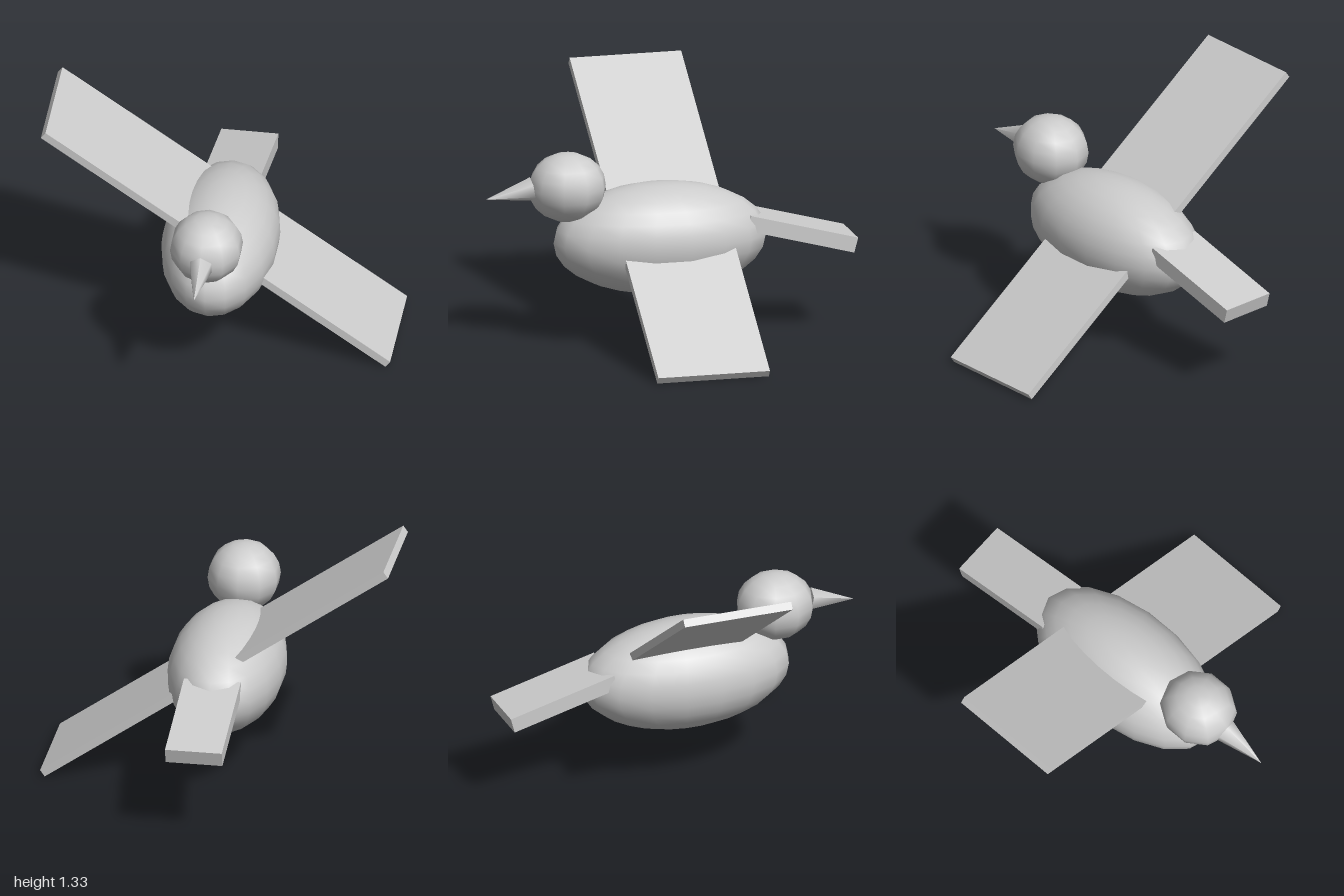
import * as THREE from 'three';

export function createModel() {
  const bird = new THREE.Group();
  bird.name = 'bird';
  const paleGrey = new THREE.MeshStandardMaterial({ color: 0xcccccc });
  paleGrey.name = 'paleGrey';

  const add = (name, geometry, x, y, z) => {
    const mesh = new THREE.Mesh(geometry, paleGrey);
    mesh.name = name;
    mesh.position.set(x, y, z);
    bird.add(mesh);
    return mesh;
  };

  // Faceted outline with smooth shading, a corner pointing along z
  const ellipsoid = (rx, ry, rz, sides, rings) =>
    new THREE.SphereGeometry(1, sides, rings).rotateY(Math.PI / 2).scale(rx, ry, rz);

  add('body', ellipsoid(0.308, 0.298, 0.583, 18, 14), -0.012, 0.562, 0.047);
  add('head', ellipsoid(0.195, 0.186, 0.211, 10, 10), -0.013, 0.866, 0.555);

  // Beak: six-sided cone dipping slightly forward
  const beak = add('beak', new THREE.ConeGeometry(0.066, 0.255, 6).rotateX(Math.PI / 2),
    -0.015, 0.846, 0.874);
  beak.rotation.x = 0.165;

  // Banked wings: one straight slab through the body
  const wings = add('wings', new THREE.BoxGeometry(2.25, 0.043, 0.61), -0.002, 0.668, 0);
  wings.rotation.z = THREE.MathUtils.degToRad(-35);

  // Tail sloping down towards the back
  const tail = add('tail', new THREE.BoxGeometry(0.305, 0.083, 0.605), -0.012, 0.563, -0.693);
  tail.rotation.x = THREE.MathUtils.degToRad(-14.9);

  return bird;
}
